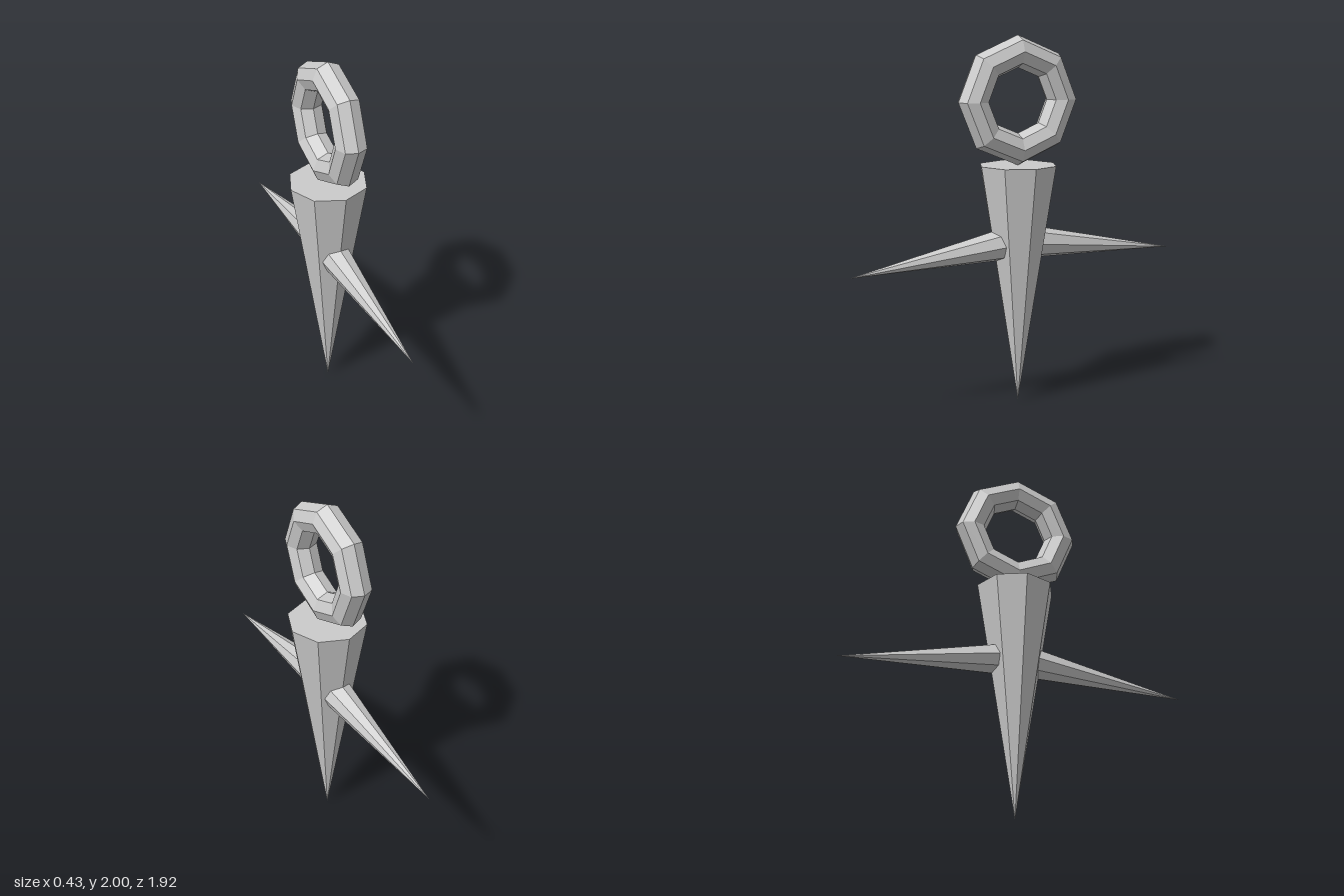
import * as THREE from 'three';

export function createModel() {
  const model = new THREE.Group();
  const material = new THREE.MeshStandardMaterial({ color: 0xcccccc, flatShading: true });
  const add = (name, geometry) => {
    const mesh = new THREE.Mesh(geometry, material);
    mesh.name = name;
    model.add(mesh);
    return mesh;
  };

  // Eight-sided cone between a base centre and its tip
  const spike = (name, radius, base, tip) => {
    const axis = tip.clone().sub(base);
    const length = axis.length();
    const geometry = new THREE.ConeGeometry(radius, length, 8);
    geometry.translate(0, length / 2, 0);
    geometry.rotateX(Math.atan2(axis.z, axis.y));
    add(name, geometry).position.copy(base);
  };

  // Main body, pointing down
  spike('body', 0.215, new THREE.Vector3(0, 1.31, 0), new THREE.Vector3(0, 0, 0));

  // Side spikes, drooping slightly to the front and back
  for (const [name, side] of [['frontSpike', 1], ['backSpike', -1]]) {
    spike(name, 0.096, new THREE.Vector3(0, 0.893, 0), new THREE.Vector3(0, 0.78, 0.962 * side));
  }

  // Ring standing on the body, its hole facing sideways
  const ring = new THREE.TorusGeometry(0.26, 0.086, 8, 8);
  ring.rotateY(Math.PI / 2);
  add('ring', ring).position.y = 1.654;

  return model;
}
